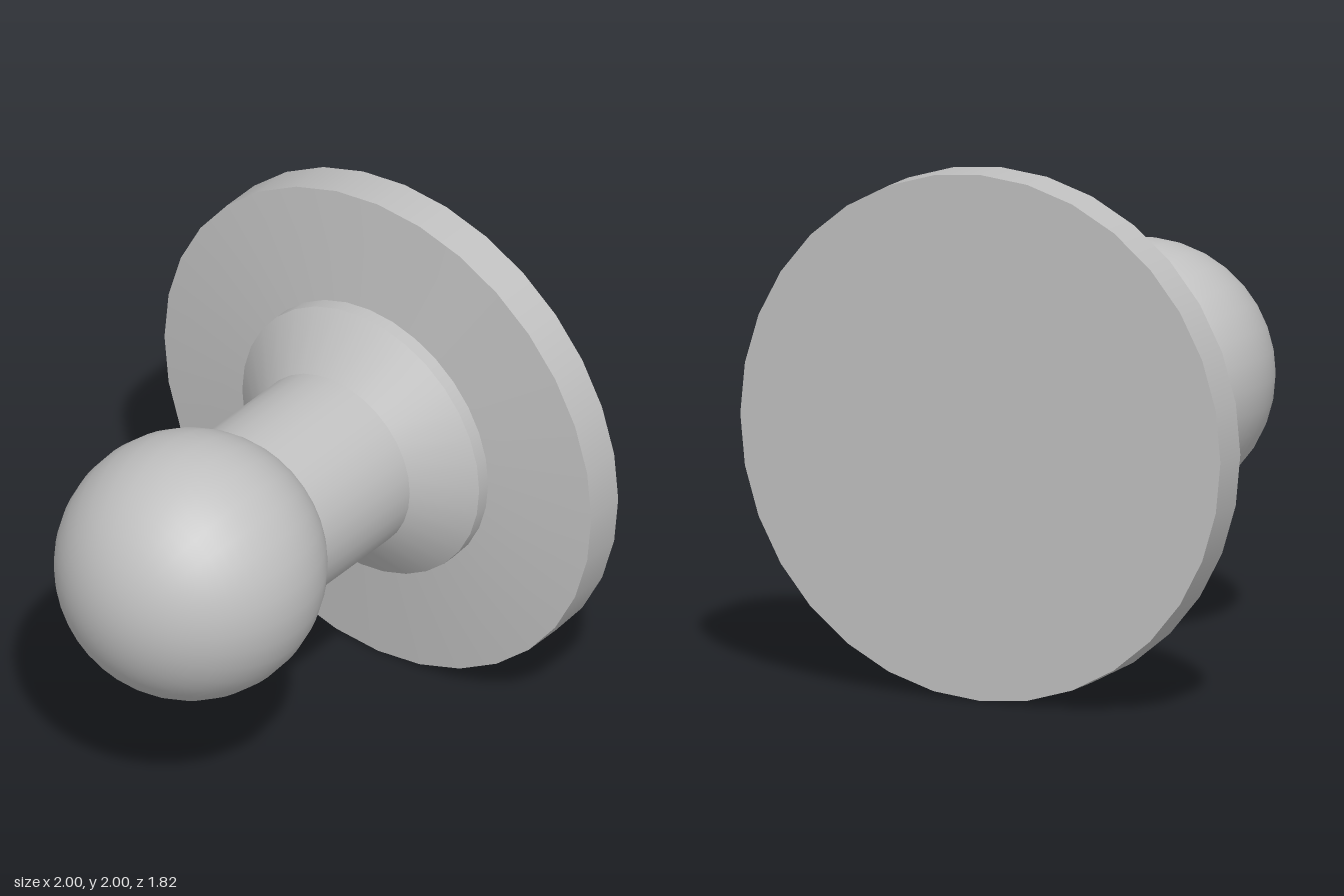
import * as THREE from 'three';

const SIDES = 32;
const AXIS_Y = 1; // height of the knob's axis

export function createModel() {
  const model = new THREE.Group();
  model.name = 'knob';
  const metal = new THREE.MeshStandardMaterial({ color: 0xc0c0c0 });
  metal.name = 'grey metal';

  const add = (name, geometry) => {
    const mesh = new THREE.Mesh(geometry, metal);
    mesh.name = name;
    mesh.position.y = AXIS_Y;
    model.add(mesh);
  };

  // One open band of the turned body, from z0 (back) to z1 (front)
  const band = (name, z0, r0, z1, r1) => {
    const g = new THREE.CylinderGeometry(r1, r0, z1 - z0, SIDES, 1, true);
    g.rotateX(Math.PI / 2).translate(0, 0, (z0 + z1) / 2);
    add(name, g);
  };

  // Flat back of the mounting plate
  const back = new THREE.CircleGeometry(1, SIDES);
  back.rotateY(Math.PI).translate(0, 0, -0.91);
  add('plateBack', back);

  // Turned body, separate bands keep the edges sharp
  band('plateRim', -0.91, 1, -0.745, 1);
  band('plateFace', -0.745, 1, -0.695, 0.555);
  band('collarRim', -0.695, 0.555, -0.64, 0.555);
  band('collarTaper', -0.64, 0.555, -0.47, 0.36);
  band('neck', -0.47, 0.36, 0.04, 0.36);

  // Ball, cut off where it meets the neck
  const radius = 0.51;
  const cut = Math.PI - Math.asin(0.36 / radius);
  const ball = new THREE.SphereGeometry(radius, SIDES, 24, 0, Math.PI * 2, 0, cut);
  ball.rotateX(Math.PI / 2).translate(0, 0, 0.4);
  add('ball', ball);

  return model;
}
